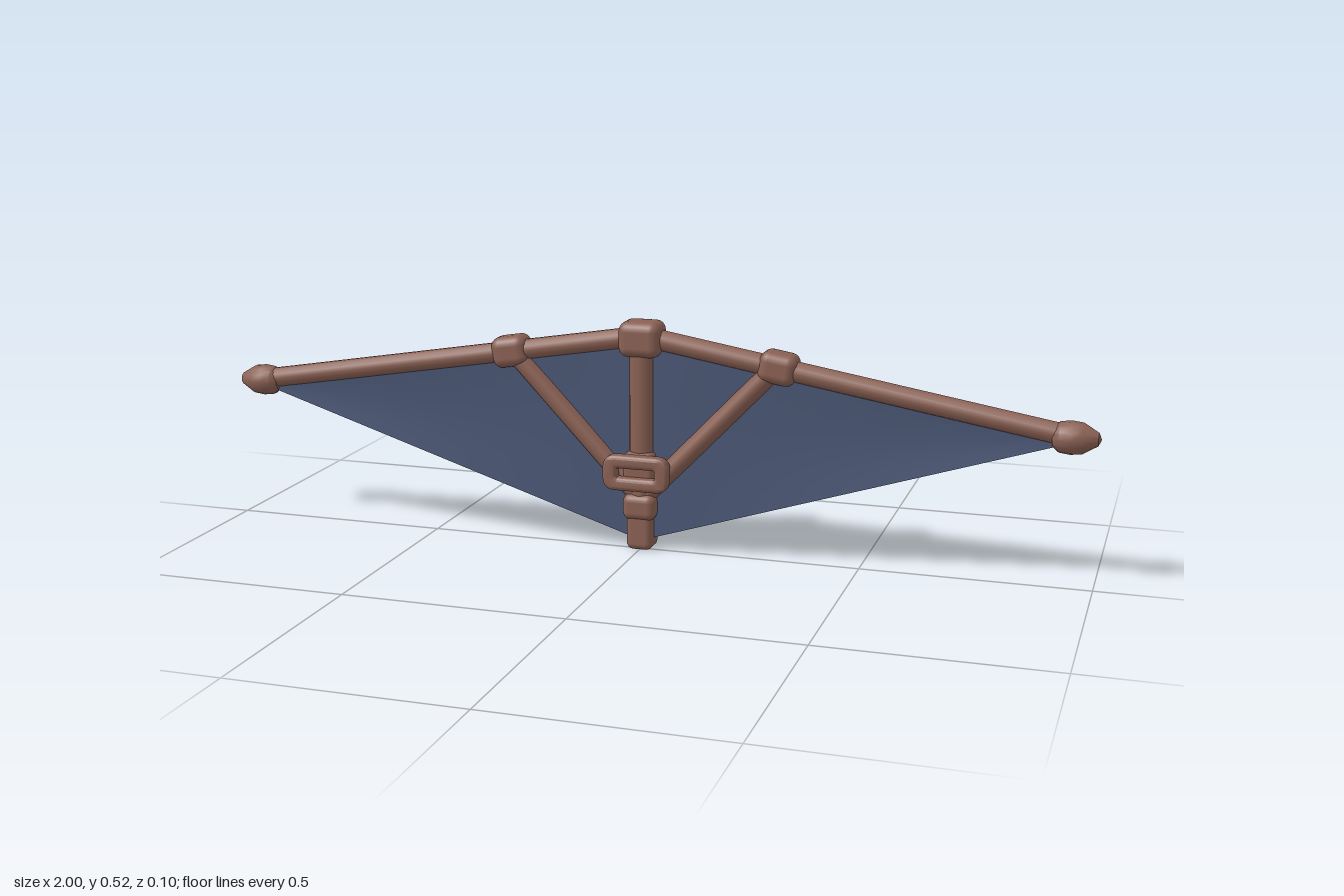
import * as THREE from 'three';
import { toCreasedNormals } from 'three/addons/utils/BufferGeometryUtils.js';
import { RoundedBoxGeometry } from 'three/addons/geometries/RoundedBoxGeometry.js';

const Z = -0.01; // middle plane of the frame
const SLOPE = -0.168; // fall of the leading spars
const sparY = (x) => 0.487 + SLOPE * Math.abs(x);

export function createModel() {
  const group = new THREE.Group();
  const leather = new THREE.MeshStandardMaterial({ color: 0x8b6154 });
  leather.name = 'brown wood';
  const cloth = new THREE.MeshStandardMaterial({ color: 0x4a5775 });
  cloth.name = 'blue cloth';

  const add = (name, geometry, x = 0, y = 0, z = Z, material = leather) => {
    const mesh = new THREE.Mesh(geometry, material);
    mesh.name = name;
    mesh.position.set(x, y, z);
    group.add(mesh);
    return mesh;
  };
  const block = (name, w, h, d, r, x, y, z) =>
    add(name, new RoundedBoxGeometry(w, h, d, 3, r), x, y, z);
  // round pole between two points of the frame plane
  const pole = (name, x1, y1, x2, y2, r, depth = 1) => {
    const length = Math.hypot(x2 - x1, y2 - y1);
    const mesh = add(name, new THREE.CylinderGeometry(r, r, length, 14), (x1 + x2) / 2, (y1 + y2) / 2);
    mesh.rotation.z = Math.atan2(x1 - x2, y2 - y1);
    mesh.scale.z = depth;
    return mesh;
  };

  // cloth sail: a thin slab shaped to a kite, billowing gently between the poles
  const sail = new THREE.BoxGeometry(1.86, 1, 1, 48, 10, 1);
  const p = sail.attributes.position;
  for (let i = 0; i < p.count; i++) {
    const x = p.getX(i);
    const ax = Math.abs(x);
    const v = p.getY(i) + 0.5;
    const bottom = 0.018 + 0.318 * ax;
    const y = THREE.MathUtils.lerp(bottom, sparY(x), v);
    const billow = 0.006 * Math.sin(Math.PI * v) * Math.sin(Math.PI * Math.min(1, ax / 0.93));
    p.setXYZ(i, x, y, -0.004 + p.getZ(i) * 0.024 - billow);
  }
  add('sail', toCreasedNormals(sail, 0.7), 0, 0, Z, cloth);

  // central spine with its top hub and bottom socket
  pole('spine', 0, 0.06, 0, 0.48, 0.029, 1.05);
  block('topHub', 0.096, 0.08, 0.08, 0.022, 0, 0.482, Z);
  block('spineFoot', 0.06, 0.12, 0.064, 0.015, 0, 0.06, Z);
  block('footCollar', 0.076, 0.06, 0.076, 0.018, 0, 0.1, Z);

  // pointed spar tip, turned around its long axis
  const tipProfile = [[0, -0.05], [0.022, -0.05], [0.033, -0.036], [0.036, -0.012], [0.033, 0.012], [0.014, 0.044], [0, 0.05]]
    .map(([r, y]) => new THREE.Vector2(r, y));
  const tip = toCreasedNormals(new THREE.LatheGeometry(tipProfile, 14), 0.6);

  for (const side of [1, -1]) {
    const label = side > 0 ? 'left' : 'right';
    pole(label + 'Spar', 0, sparY(0), side * 0.94, sparY(0.94), 0.023);
    pole(label + 'Brace', side * 0.01, 0.125, side * 0.305, sparY(0.305), 0.023, 1.1);
    const joint = block(label + 'Joint', 0.085, 0.07, 0.07, 0.022, side * 0.31, sparY(0.31), Z - 0.004);
    joint.rotation.z = side * Math.atan(SLOPE);
    const cap = add(label + 'Tip', tip, side * 0.95, 0.327);
    cap.rotation.z = -side * Math.PI / 2;
  }

  // buckle: rounded frame with a slot, standing on the front of the spine
  const roundRect = (shape, w, h, r) => {
    const x = w / 2, y = h / 2;
    shape.moveTo(-x + r, -y);
    shape.lineTo(x - r, -y).quadraticCurveTo(x, -y, x, -y + r);
    shape.lineTo(x, y - r).quadraticCurveTo(x, y, x - r, y);
    shape.lineTo(-x + r, y).quadraticCurveTo(-x, y, -x, y - r);
    shape.lineTo(-x, -y + r).quadraticCurveTo(-x, -y, -x + r, -y);
    return shape;
  };
  const ring = roundRect(new THREE.Shape(), 0.136, 0.064, 0.02);
  ring.holes.push(roundRect(new THREE.Path(), 0.104, 0.038, 0.012));
  const buckle = new THREE.ExtrudeGeometry(ring, {
    depth: 0.018, bevelEnabled: true, bevelSize: 0.008, bevelThickness: 0.007, bevelSegments: 3, curveSegments: 5,
  });
  add('buckle', toCreasedNormals(buckle, 0.7), 0, 0.184, 0.025);
  block('buckleMount', 0.07, 0.09, 0.04, 0.012, 0, 0.182, 0.008);

  return group;
}
